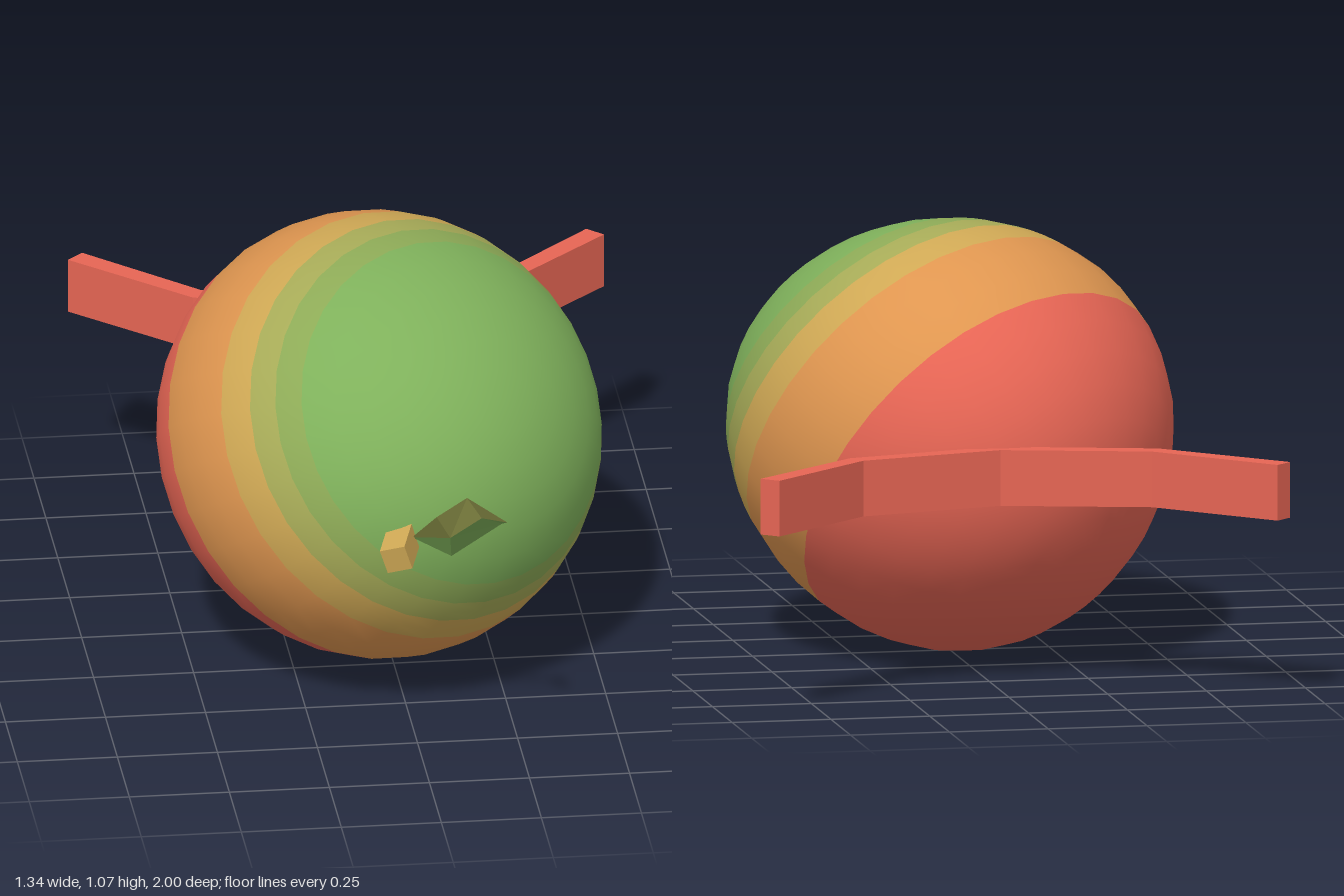
import * as THREE from 'three';

const mat = (name, color, side = THREE.FrontSide) => {
  const m = new THREE.MeshStandardMaterial({ color, side });
  m.name = name;
  return m;
};

export function createModel() {
  const group = new THREE.Group();
  const green = mat('green', 0x7fb15b, THREE.DoubleSide);
  const midGreen = mat('mid green', 0x8eab57);
  const lime = mat('yellow green', 0xa8ac58, THREE.DoubleSide);
  const yellow = mat('yellow', 0xd0a955);
  const orange = mat('orange', 0xdf9650);
  const red = mat('red', 0xe66554);

  const add = (name, geometry, material, parent = group) => {
    const mesh = new THREE.Mesh(geometry, material);
    mesh.name = name;
    parent.add(mesh);
    return mesh;
  };

  // Fruit: an ellipsoid sliced into ripeness bands across a slanted axis
  const fruit = new THREE.Group();
  fruit.name = 'fruit';
  group.add(fruit);
  const axis = new THREE.Vector3(0.437, 0.534, 0.723).normalize();
  const turn = new THREE.Quaternion().setFromUnitVectors(new THREE.Vector3(0, 1, 0), axis);
  const radius = new THREE.Vector3(0.55, 0.535, 0.672);

  const band = (name, material, from, to) => {
    const a = Math.acos(from), b = Math.acos(to);
    const rows = Math.max(1, Math.round((b - a) / 0.15));
    const g = new THREE.SphereGeometry(1, 32, rows, 0, Math.PI * 2, a, b - a);
    g.applyQuaternion(turn);
    const p = g.attributes.position, n = g.attributes.normal;
    const v = new THREE.Vector3();
    for (let i = 0; i < p.count; i++) {
      v.fromBufferAttribute(p, i);
      const taper = 1 + 0.05 * v.y + 0.07 * v.z; // fuller at the top and front
      p.setXYZ(i, -0.018 + radius.x * v.x * taper, 0.54 + radius.y * v.y, 0.048 + radius.z * v.z);
      v.divide(radius).normalize();
      n.setXYZ(i, v.x, v.y, v.z);
    }
    add(name, g, material, fruit);
  };
  [
    ['greenCap', green, 1, 0.637],
    ['midGreenBand', midGreen, 0.637, 0.54],
    ['yellowGreenBand', lime, 0.54, 0.43],
    ['yellowBand', yellow, 0.43, 0.28],
    ['orangeBand', orange, 0.28, -0.15],
    ['redCap', red, -0.15, -1],
  ].forEach((b) => band(...b));

  // Bent strap behind the fruit, outlined in plan (x, -z) and extruded upward
  const inner = [[0.67, 0.96], [0.39, 0.69], [0, 0.585]];
  const outer = [[0, 0.64], [0.365, 0.735], [0.63, 1.0]];
  const mirror = (list) => list.map(([x, y]) => [-x, y]).reverse();
  const outline = [...inner.slice(0, 2), inner[2], ...mirror(inner).slice(1),
    ...mirror(outer).slice(0, 2), outer[0], ...outer.slice(1)];
  const shape = new THREE.Shape(outline.map(([x, y]) => new THREE.Vector2(x, y)));
  const strap = new THREE.ExtrudeGeometry(shape, { depth: 0.14, bevelEnabled: false });
  strap.rotateX(-Math.PI / 2).translate(0, 0.47, 0);
  add('backStrap', strap, red);

  // Stem: a short square peg leaning forward
  const start = new THREE.Vector3(-0.02, 0.55, 0.67);
  const end = new THREE.Vector3(-0.06, 0.528, 0.805);
  const stem = add('stem', new THREE.BoxGeometry(0.065, start.distanceTo(end), 0.065), yellow);
  stem.position.copy(start).lerp(end, 0.5);
  stem.quaternion.setFromUnitVectors(new THREE.Vector3(0, 1, 0), end.clone().sub(start).normalize());

  // Leaf: two folded halves between the edges and a midrib
  const leaf = new THREE.Group();
  leaf.name = 'leaf';
  group.add(leaf);
  const base = [-0.01, 0.55, 0.72], tip = [0.195, 0.7, 1.0];
  const rib = [[0.07, 0.6, 0.85], [0.14, 0.68, 0.92]];
  const half = (name, edge, material) => {
    const tris = [base, edge[0], rib[0], edge[0], edge[1], rib[0],
      rib[0], edge[1], rib[1], edge[1], tip, rib[1]];
    const g = new THREE.BufferGeometry();
    g.setAttribute('position', new THREE.Float32BufferAttribute(tris.flat(), 3));
    g.computeVertexNormals();
    add(name, g, material, leaf);
  };
  half('leafOuterHalf', [[0.03, 0.68, 0.9], [0.1, 0.75, 0.95]], lime);
  half('leafInnerHalf', [[0.08, 0.525, 0.79], [0.195, 0.65, 0.89]], green);

  return group;
}
